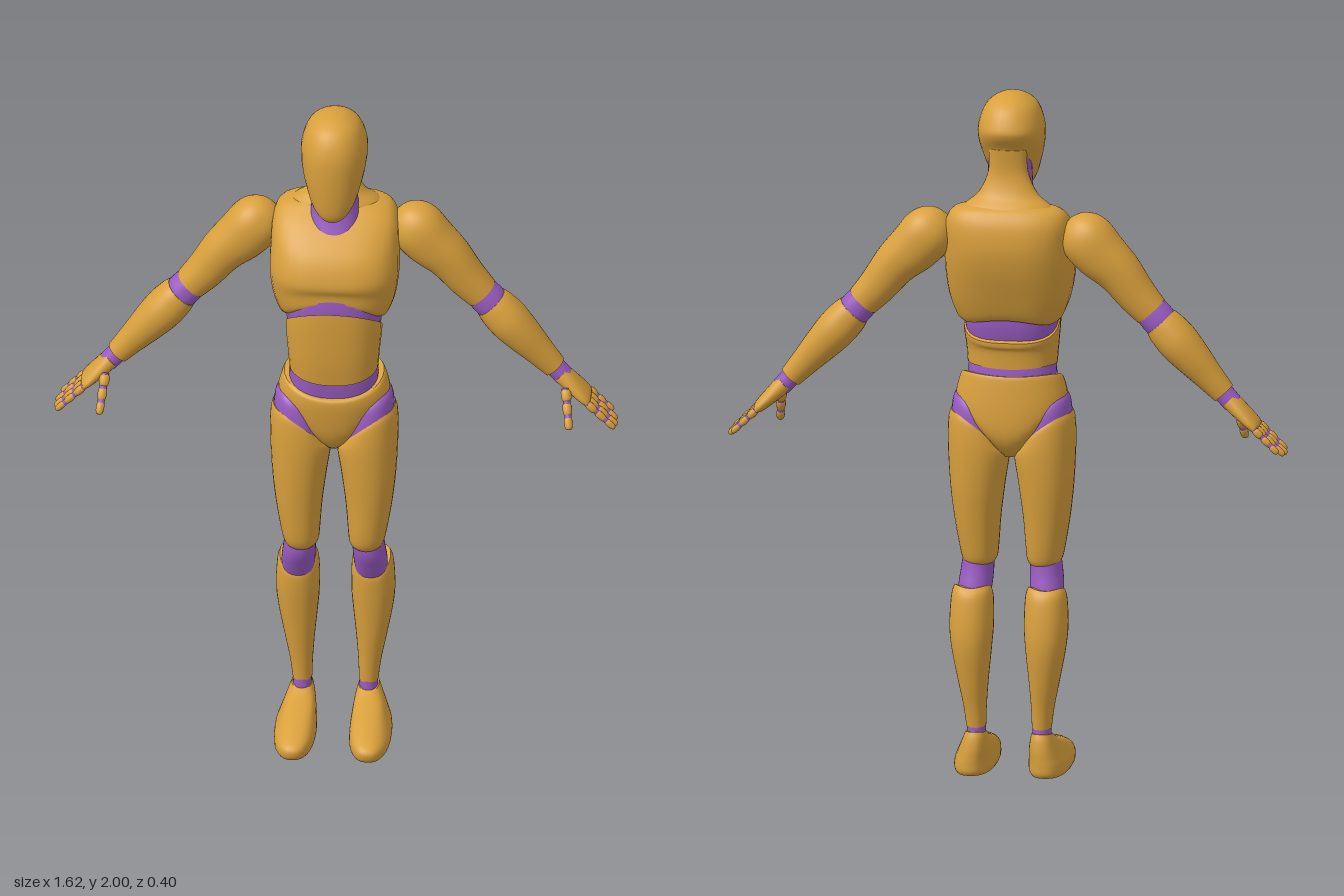
import * as THREE from 'three';

const shell = new THREE.MeshStandardMaterial({ color: 0xd9a03c });
shell.name = 'ochre shell';
const joint = new THREE.MeshStandardMaterial({ color: 0x9a5cc4 });
joint.name = 'violet joint';

// Smooth loft through rings listed from top to bottom, with sharp flat ends.
// Ring: [y, centre x, half width, front z, back z, front tilt, side tilt, side lift]
function loft(rings, { seg = 32, sub = 5, power = 2.2 } = {}) {
  const full = rings.map(r => Array.from({ length: 8 }, (_, k) => r[k] ?? 0));
  const at = i => full[Math.max(0, Math.min(full.length - 1, i))];
  const sections = [];
  for (let i = 0; i < full.length - 1; i++) {
    for (let j = 0; j < sub; j++) {
      const t = j / sub;
      sections.push(full[i].map((p1, k) => {
        const p0 = at(i - 1)[k], p2 = at(i + 1)[k], p3 = at(i + 2)[k];
        return 0.5 * (2 * p1 + (p2 - p0) * t + (2 * p0 - 5 * p1 + 4 * p2 - p3) * t * t
          + (3 * p1 - p0 - 3 * p2 + p3) * t * t * t);
      }));
    }
  }
  sections.push(full[full.length - 1]);

  const pos = [], idx = [];
  const round = v => Math.sign(v) * Math.abs(v) ** (2 / power);
  const addRing = ([y, x, w, f, b, tz, tx, lift]) => {
    const start = pos.length / 3;
    for (let j = 0; j < seg; j++) {
      const a = (j / seg) * Math.PI * 2;
      const u = round(Math.cos(a)), v = round(Math.sin(a));
      pos.push(x + u * w, y + tz * v + tx * u + lift * u * u, (f + b) / 2 + v * (f - b) / 2);
    }
    return start;
  };
  sections.forEach((s, i) => {
    const c = addRing(s), p = c - seg;
    if (i) for (let j = 0; j < seg; j++) {
      const n = (j + 1) % seg;
      idx.push(p + j, p + n, c + j, p + n, c + n, c + j);
    }
  });
  for (const [s, top] of [[sections[0], true], [sections[sections.length - 1], false]]) {
    const r = addRing(s), mid = pos.length / 3;
    pos.push(s[1], s[0] + s[7] / 2, (s[3] + s[4]) / 2);
    for (let j = 0; j < seg; j++) {
      const n = (j + 1) % seg;
      idx.push(mid, r + (top ? n : j), r + (top ? j : n));
    }
  }
  const g = new THREE.BufferGeometry();
  g.setAttribute('position', new THREE.Float32BufferAttribute(pos, 3));
  g.setIndex(idx);
  g.computeVertexNormals();
  return g;
}

function part(parent, name, mat, rings, opts) {
  const m = new THREE.Mesh(loft(rings, opts), mat);
  m.name = name;
  parent.add(m);
  return m;
}

// Ring around a limb's own axis: [y, half thickness, half depth, x shift]
const limb = rows => rows.map(([y, r, d = r, x = 0]) => [y, x, r, d, -d]);

function group(parent, name) {
  const g = new THREE.Group();
  g.name = name;
  parent.add(g);
  return g;
}

// Finger of three rounded segments with joints between them
function finger(parent, name, base, tip, r) {
  const g = group(parent, name);
  const dir = tip.clone().sub(base);
  const len = dir.length(), step = len / 3;
  g.position.copy(base);
  g.quaternion.setFromUnitVectors(new THREE.Vector3(0, -1, 0), dir.normalize());
  part(g, name + 'Joints', joint, limb([[0, r * 0.8], [-len * 0.9, r * 0.65]]), { seg: 10, sub: 1 });
  for (let i = 0; i < 3; i++) {
    const y = -i * step, q = r * (1 - i * 0.1);
    part(g, name + 'Segment', shell, limb([
      [y - step * 0.14, q * 0.8], [y - step * 0.3, q], [y - step * 0.7, q * 0.97],
      [y - step * 0.93, q * 0.75], [y - step, q * 0.4]]), { seg: 12, sub: 2 });
  }
}

function buildArm(root, s, side) {
  const arm = group(root, side + 'Arm');
  arm.position.set(s * 0.235, 1.59, -0.097);
  arm.rotation.z = s * 0.733;
  part(arm, 'upperArm', shell, limb([
    [0.082, 0.012, 0.012], [0.07, 0.042, 0.04], [0.04, 0.068, 0.064], [0, 0.078, 0.075],
    [-0.06, 0.074, 0.074], [-0.13, 0.064, 0.068, s * 0.006], [-0.21, 0.056, 0.06], [-0.272, 0.049, 0.054]]));
  part(arm, 'elbow', joint, limb([[-0.25, 0.045, 0.05], [-0.3, 0.049, 0.053], [-0.34, 0.045, 0.05]]));
  part(arm, 'forearm', shell, limb([
    [-0.312, 0.05, 0.054], [-0.34, 0.056, 0.06], [-0.39, 0.058, 0.066], [-0.45, 0.052, 0.06],
    [-0.52, 0.042, 0.047], [-0.585, 0.034, 0.037]]));
  part(arm, 'wrist', joint, limb([[-0.57, 0.029, 0.032], [-0.625, 0.028, 0.032]]));

  const hand = group(arm, 'hand');
  hand.position.y = -0.61;
  hand.rotation.z = s * 0.07;
  part(hand, 'palm', shell, limb([
    [0, 0.026, 0.034], [-0.03, 0.025, 0.042], [-0.08, 0.02, 0.054], [-0.105, 0.016, 0.055],
    [-0.114, 0.009, 0.051]]), { seg: 24, sub: 4 });
  [0.112, 0.12, 0.116, 0.098].forEach((len, i) => {
    const z = 0.044 - i * 0.0295;
    finger(hand, 'finger', new THREE.Vector3(0, -0.107, z), new THREE.Vector3(0, -0.107 - len, z * 1.05), 0.0115);
  });
  finger(hand, 'thumb', new THREE.Vector3(-s * 0.012, -0.035, 0.036),
    new THREE.Vector3(-s * 0.075, -0.115, 0.1), 0.015);
}

function buildLeg(root, s, side) {
  const leg = group(root, side + 'Leg');
  const rings = rows => rows.map(([y, x, w, f, b, tz = 0, tx = 0, lift = 0]) =>
    [y, s * x, w, f, b, tz, s * tx, lift]);
  part(leg, 'hipJoint', joint, rings([
    [1.115, 0.095, 0.03, 0.02, -0.05, 0, 0.02], [1.09, 0.098, 0.056, 0.066, -0.09, 0, 0.03],
    [1.05, 0.1, 0.07, 0.08, -0.106, 0, 0.04], [0.97, 0.098, 0.078, 0.082, -0.108, 0, 0.02]]));
  part(leg, 'thigh', shell, rings([
    [1.035, 0.1, 0.075, 0.08, -0.106, 0, 0.055, -0.025], [1.015, 0.099, 0.083, 0.087, -0.113, 0, 0.05, -0.025],
    [0.95, 0.096, 0.088, 0.091, -0.117, 0, 0.02], [0.85, 0.099, 0.079, 0.088, -0.111],
    [0.75, 0.1, 0.067, 0.081, -0.098], [0.66, 0.096, 0.056, 0.073, -0.084],
    [0.625, 0.094, 0.05, 0.064, -0.076], [0.61, 0.094, 0.041, 0.05, -0.067]]));
  part(leg, 'knee', joint, rings([
    [0.65, 0.095, 0.043, 0.05, -0.066], [0.59, 0.1, 0.047, 0.047, -0.074],
    [0.54, 0.104, 0.048, 0.026, -0.085], [0.48, 0.105, 0.042, -0.005, -0.09]]));
  part(leg, 'shin', shell, rings([
    [0.528, 0.107, 0.052, 0.006, -0.112, -0.024, 0, 0.02], [0.505, 0.107, 0.06, 0.008, -0.132, -0.018, 0, 0.015],
    [0.44, 0.108, 0.063, 0.004, -0.146], [0.37, 0.107, 0.057, -0.004, -0.147],
    [0.28, 0.103, 0.044, -0.015, -0.133], [0.2, 0.098, 0.033, -0.025, -0.116],
    [0.14, 0.095, 0.028, -0.031, -0.107]]));
  part(leg, 'ankle', joint, rings([[0.17, 0.095, 0.026, -0.032, -0.104], [0.09, 0.095, 0.027, -0.028, -0.108]]));
  part(leg, 'foot', shell, rings([
    [0.122, 0.096, 0.029, -0.025, -0.112, -0.006], [0.104, 0.097, 0.036, 0.012, -0.12, -0.004],
    [0.078, 0.1, 0.046, 0.098, -0.125], [0.053, 0.104, 0.054, 0.172, -0.126],
    [0.034, 0.107, 0.059, 0.2, -0.126], [0.012, 0.108, 0.06, 0.2, -0.125], [0, 0.108, 0.055, 0.19, -0.118]]),
    { power: 2.4 });
}

export function createModel() {
  const root = new THREE.Group();
  root.name = 'jointedFigure';

  // Head and neck
  part(root, 'head', shell, [
    [2.0, 0, 0.006, -0.01, -0.025], [1.993, 0, 0.038, 0.035, -0.07], [1.965, 0, 0.074, 0.078, -0.115],
    [1.91, 0, 0.094, 0.104, -0.143, -0.005], [1.855, 0, 0.093, 0.107, -0.142, -0.035],
    [1.795, 0, 0.077, 0.1, -0.122, -0.065], [1.765, 0, 0.062, 0.086, -0.108, -0.068],
    [1.755, 0, 0.048, 0.066, -0.098, -0.063]]);
  part(root, 'neck', joint, [
    [1.83, 0, 0.062, 0, -0.105], [1.76, 0, 0.064, 0.008, -0.1],
    [1.69, 0, 0.068, 0.016, -0.1], [1.62, 0, 0.075, 0.04, -0.1]]);

  // Torso
  part(root, 'nape', shell, [
    [1.85, 0, 0.055, -0.06, -0.118], [1.78, 0, 0.058, -0.055, -0.113], [1.72, 0, 0.085, -0.045, -0.13],
    [1.685, 0, 0.125, -0.03, -0.16], [1.64, 0, 0.16, -0.01, -0.185]]);
  part(root, 'chest', shell, [
    [1.69, 0, 0.1, -0.045, -0.15], [1.675, 0, 0.155, -0.025, -0.172], [1.635, 0, 0.18, 0.03, -0.193],
    [1.57, 0, 0.184, 0.09, -0.2], [1.5, 0, 0.186, 0.116, -0.188],
    [1.445, 0, 0.176, 0.106, -0.162, 0.02, 0, -0.025], [1.405, 0, 0.156, 0.104, -0.14, 0.035, 0, -0.04],
    [1.39, 0, 0.14, 0.1, -0.126, 0.04, 0, -0.04]], { power: 2.7 });
  part(root, 'ribJoint', joint, [
    [1.45, 0, 0.135, 0.1, -0.115, 0.03], [1.37, 0, 0.137, 0.106, -0.115, 0.04, 0, -0.01],
    [1.25, 0, 0.124, 0.095, -0.095]], { power: 2.5 });
  part(root, 'abdomen', shell, [
    [1.345, 0, 0.138, 0.112, -0.116, 0.065, 0, -0.015], [1.31, 0, 0.138, 0.112, -0.114, 0.045],
    [1.25, 0, 0.132, 0.107, -0.104], [1.185, 0, 0.128, 0.097, -0.1, -0.014, 0, 0.015]], { power: 2.5 });
  part(root, 'waist', joint, [
    [1.24, 0, 0.12, 0.09, -0.092], [1.18, 0, 0.127, 0.093, -0.1], [1.1, 0, 0.13, 0.08, -0.1]], { power: 2.4 });
  part(root, 'pelvis', shell, [
    [1.15, 0, 0.143, 0.092, -0.11, -0.03, 0, 0.02], [1.135, 0, 0.15, 0.098, -0.116, -0.025, 0, 0.022],
    [1.07, 0, 0.16, 0.095, -0.126, 0, 0, 0.045], [1.0, 0, 0.145, 0.082, -0.124, 0, 0, 0.095],
    [0.955, 0, 0.09, 0.06, -0.1, 0, 0, 0.085], [0.932, 0, 0.03, 0.03, -0.06]]);

  // Limbs
  for (const [s, side] of [[1, 'left'], [-1, 'right']]) {
    buildArm(root, s, side);
    buildLeg(root, s, side);
  }
  return root;
}
